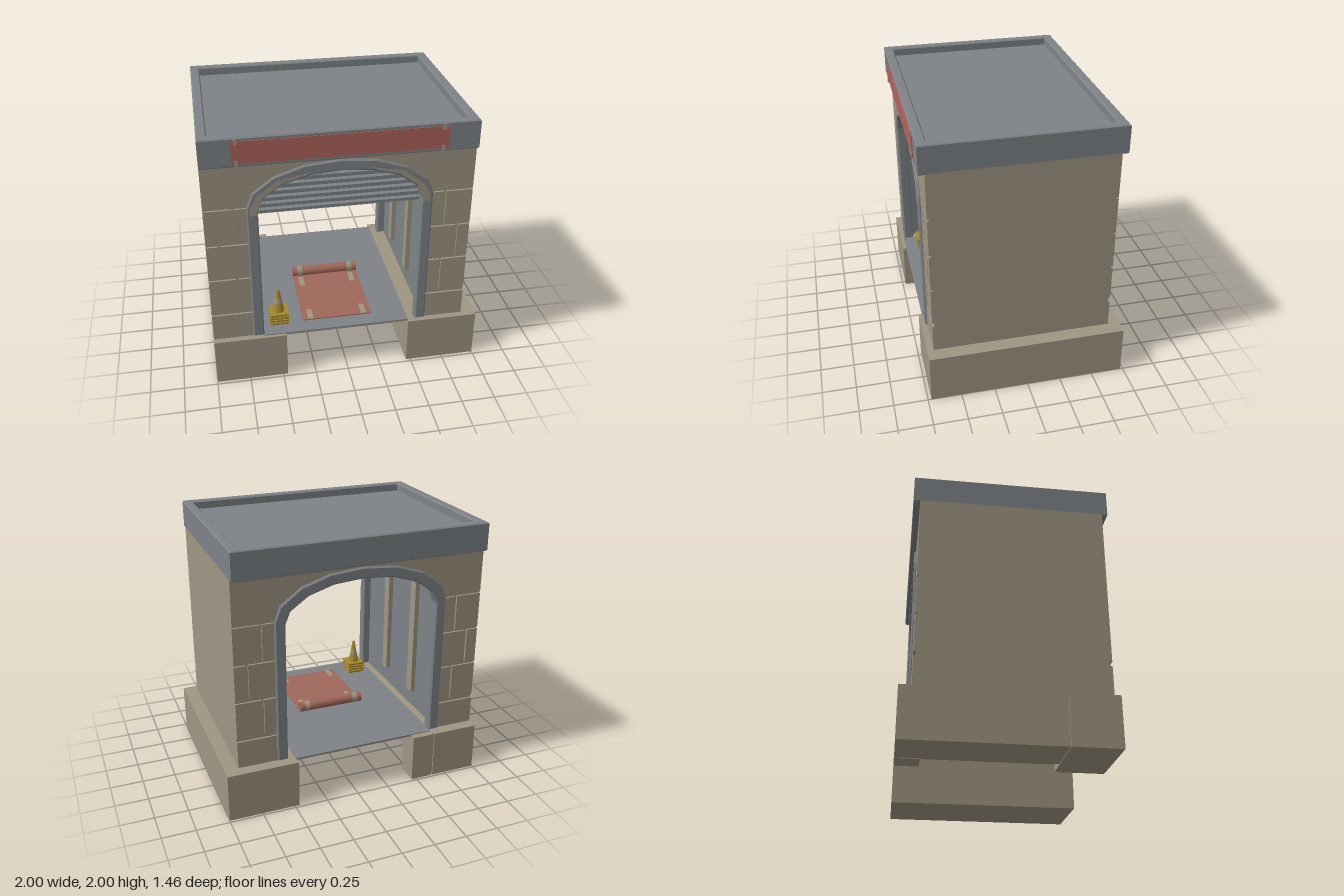
import * as THREE from 'three';

const mat = (name, color, side = THREE.FrontSide) => {
  const m = new THREE.MeshStandardMaterial({ color, side });
  m.name = name;
  return m;
};

export function createModel() {
  const stone = mat('stone', 0x9f9582);
  const metal = mat('metal', 0x7e8387);
  const red = mat('banner red', 0xae645b);
  const rug = mat('rug brown', 0xa0685a);
  const yellow = mat('cone yellow', 0xa5882f);
  const model = new THREE.Group();
  model.name = 'garage';

  const add = (parent, name, geo, material, x = 0, y = 0, z = 0) => {
    const m = new THREE.Mesh(geo, material);
    m.name = name;
    m.position.set(x, y, z);
    parent.add(m);
    return m;
  };
  // box given by its limits
  const box = (parent, name, material, x0, x1, y0, y1, z0, z1) =>
    add(parent, name, new THREE.BoxGeometry(x1 - x0, y1 - y0, z1 - z0), material,
      (x0 + x1) / 2, (y0 + y1) / 2, (z0 + z1) / 2);
  const shapeOf = pts => new THREE.Shape(pts.map(p => new THREE.Vector2(p[0], p[1])));
  // extrusion along z from z0 to z1 with optional chamfer
  const slab = (shape, z0, z1, b = 0) => new THREE.ExtrudeGeometry(shape, {
    depth: z1 - z0 - 2 * b, bevelEnabled: b > 0, bevelSize: b, bevelThickness: b,
    bevelOffset: -b, bevelSegments: 1,
  }).translate(0, 0, z0 + b);

  // faceted arch line, left foot to right foot
  const half = [[1, 0], [0.935, 0.35], [0.705, 0.71], [0.38, 0.935], [0, 1]];
  const arch = (w, spring, top, foot) => {
    const pt = (s, [x, y]) => [s * x * w, spring + y * (top - spring)];
    return [[-w, foot], ...half.map(p => pt(-1, p)),
      ...half.slice(0, 4).reverse().map(p => pt(1, p)), [w, foot]];
  };
  const ring = (outer, inner) => shapeOf([...outer, ...inner.reverse()]);

  // foundation blocks
  const F = 0.37;
  box(model, 'rightFoundation', stone, 0.465, 1, 0, F, -0.73, 0.725);
  box(model, 'frontFoundationBlock', stone, -1, -0.465, 0, F, 0.375, 0.725);
  box(model, 'sideFoundationBlock', stone, -1, -0.645, 0, F, -0.73, 0.365);
  box(model, 'backFoundationBlock', stone, -0.63, -0.465, 0, F, -0.73, -0.56);
  box(model, 'foundationJoint', stone, -0.99, -0.63, 0.005, F, -0.72, 0.38);

  // floor plate over a stone underside
  box(model, 'floorUnderside', stone, -0.63, 0.47, 0.36, 0.368, -0.68, 0.70);
  box(model, 'floor', metal, -0.63, 0.47, 0.368, 0.376, -0.68, 0.70);

  // building core, centred on its own axis
  const house = new THREE.Group();
  house.name = 'house';
  house.position.set(-0.0525, 0, 0.0175);
  model.add(house);
  const W = 0.9475, D = 0.646, T = 0.661, top = 1.8;
  const opening = foot => arch(0.652, 1.46, 1.77, foot);
  add(house, 'walls', slab(ring([[-W, F], [-W, top], [W, top], [W, F]], opening(F)), -D, D), stone);
  add(house, 'vaultLining', slab(ring(opening(F), arch(0.64, 1.46, 1.758, F)), -D, D), metal);
  for (const z of [0.2, -0.26])
    add(house, 'vaultRib', slab(ring(arch(0.65, 1.46, 1.765, 0.52), arch(0.605, 1.45, 1.715, 0.52)), z - 0.04, z + 0.04), stone);

  // facade: upper panel, bricks, plinth and arch frame, repeated at the back
  for (const turn of [0, Math.PI]) {
    const facade = new THREE.Group();
    facade.name = turn ? 'backFacade' : 'frontFacade';
    facade.rotation.y = turn;
    house.add(facade);
    const a = opening(1.462);
    const upper = shapeOf([[-W, 1.462], [-W, top], [W, top], [W, 1.462], ...a.slice(1, -1).reverse()]);
    add(facade, 'upperPanel', slab(upper, D, T), stone);
    for (const s of [-1, 1]) {
      const span = (name, x0, x1, y0, y1) =>
        box(facade, name, stone, Math.min(s * x0, s * x1), Math.max(s * x0, s * x1), y0, y1, D - 0.01, T);
      span('plinth', 0.65, W, F, 0.578);
      [0.61, 0.895, 1.18].forEach((y, i) => {
        const joint = i === 1 ? 0.853 : 0.748;
        span('brick', 0.65, joint - 0.008, y, y + 0.272);
        span('brick', joint + 0.008, W, y, y + 0.272);
      });
    }
    add(facade, 'archFrame', slab(ring(arch(0.654, 1.46, 1.772, F), arch(0.575, 1.43, 1.69, F)), 0.6, 0.6775, 0.01), metal);
  }

  // stone inlays on the haunches of the front frame
  for (const s of [-1, 1]) {
    const pts = [[0.58, 1.4], [0.636, 1.4], [0.63, 1.45], [0.585, 1.54], [0.44, 1.652], [0.22, 1.695],
      [0.24, 1.68], [0.4, 1.638], [0.54, 1.535], [0.58, 1.43]];
    add(house, 'archInlay', slab(shapeOf(pts.map(p => [s * p[0], p[1]])), 0.674, 0.679), stone);
  }

  // roller shutter: rolled drum with a slatted curtain below
  const drum = new THREE.CylinderGeometry(0.16, 0.16, 1.16, 12);
  drum.rotateZ(Math.PI / 2);
  drum.computeVertexNormals();
  const flat = drum.toNonIndexed();
  flat.computeVertexNormals();
  add(house, 'shutterDrum', flat, metal, 0, 1.54, 0.4);
  for (let i = 0; i < 7; i++) {
    const y = 1.35 + i * 0.048;
    const slat = [[0, 0], [0.022, 0.012], [0.022, 0.034], [0, 0.046]];
    const g = slab(shapeOf(slat), -0.58, 0.58).rotateY(-Math.PI / 2);
    add(house, 'shutterSlat', g, metal, 0, y, 0.56);
    box(house, 'shutterBacking', metal, -0.58, 0.58, y, y + 0.05, 0.545, 0.562);
  }

  // roof tray with a raised rim
  const tray = shapeOf([[-1, -0.72], [0.895, -0.72], [0.895, 0.69], [-1, 0.69]]);
  tray.holes.push(shapeOf([[-0.93, -0.65], [-0.93, 0.62], [0.825, 0.62], [0.825, -0.65]]));
  add(model, 'roofRim', slab(tray, 1.79, 2, 0.008).rotateX(-Math.PI / 2), metal);
  box(model, 'roofDeck', metal, -0.95, 0.845, 1.795, 1.94, -0.64, 0.67);

  // banner and its clips
  box(model, 'banner', red, -0.785, 0.68, 1.815, 1.975, 0.718, 0.725);
  for (const x of [-0.755, 0.64])
    for (const y of [1.79, 1.95])
      box(model, 'bannerClip', stone, x - 0.011, x + 0.011, y, y + 0.046, 0.72, 0.729);

  // part-rolled rug with pale patches
  box(model, 'rug', rug, -0.32, 0.21, 0.374, 0.384, -0.03, 0.58);
  const roll = (len, r) => new THREE.CylinderGeometry(r, r, len, 10).rotateZ(Math.PI / 2);
  add(model, 'rugRoll', roll(0.53, 0.04), rug, -0.055, 0.416, -0.03);
  for (const x of [-0.26, 0.15]) {
    add(model, 'rollBand', roll(0.04, 0.042), stone, x, 0.416, -0.03);
    for (const z of [0.08, 0.52])
      box(model, 'rugPatch', stone, x - 0.02, x + 0.02, 0.38, 0.387, z - 0.06, z + 0.06);
  }

  // stacked traffic cones
  const cone = new THREE.Group();
  cone.name = 'coneStack';
  cone.position.set(-0.5, 0.376, 0.53);
  model.add(cone);
  for (let i = 0; i < 4; i++)
    add(cone, 'coneBase', new THREE.BoxGeometry(0.14, 0.016, 0.14), yellow, 0, 0.01 + i * 0.024, 0);
  add(cone, 'coneCore', new THREE.BoxGeometry(0.11, 0.085, 0.11), yellow, 0, 0.043, 0);
  const radius = y => 0.045 - (y - 0.085) * 0.185;
  const section = (name, y0, y1, m) =>
    add(cone, name, new THREE.CylinderGeometry(radius(y1), radius(y0), y1 - y0, 8), m, 0, (y0 + y1) / 2, 0);
  section('coneBottom', 0.085, 0.16, yellow);
  section('coneStripe', 0.16, 0.2, stone);
  section('coneTop', 0.2, 0.279, yellow);

  return model;
}
